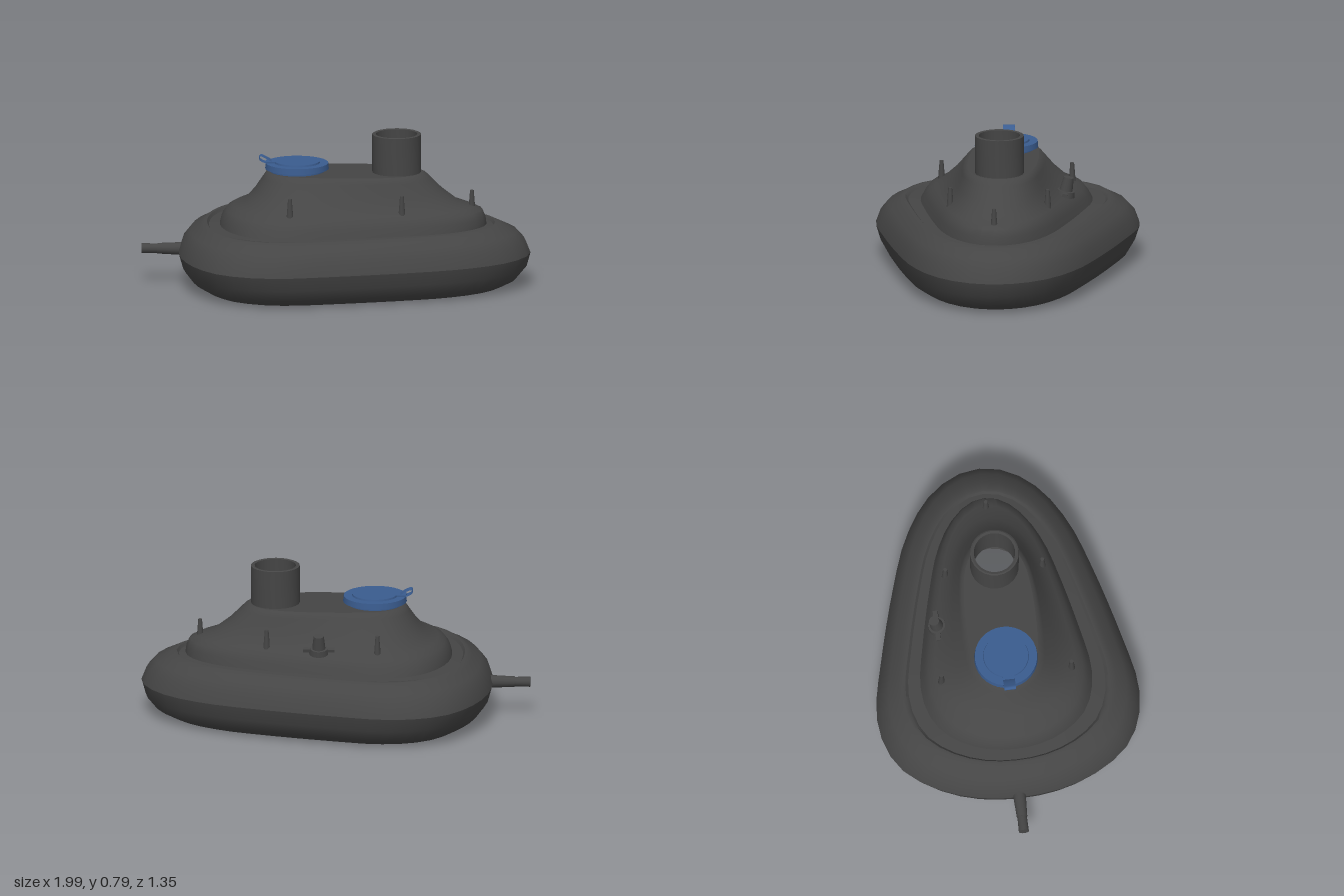
import * as THREE from 'three';
import { toCreasedNormals } from 'three/addons/utils/BufferGeometryUtils.js';

const rubber = new THREE.MeshStandardMaterial({ color: 0x454545, side: THREE.DoubleSide });
rubber.name = 'dark rubber';
const blue = new THREE.MeshStandardMaterial({ color: 0x3a5c8f, side: THREE.DoubleSide });
blue.name = 'blue plastic';

// Egg-shaped plan outline: half of it as [x, z], mirrored across z = 0
const half = [[0.99, 0], [0.96, 0.14], [0.85, 0.29], [0.65, 0.42], [0.4, 0.51], [0, 0.62], [-0.27, 0.675],
  [-0.45, 0.655], [-0.6, 0.575], [-0.72, 0.41], [-0.79, 0.21], [-0.81, 0]];
const mirrored = half.slice(1, -1).reverse().map(([x, z]) => [x, -z]);
const outline = new THREE.CatmullRomCurve3(
  [...half, ...mirrored].map(([x, z]) => new THREE.Vector3(x, 0, z)), true).getSpacedPoints(48).slice(0, 48);

// The outline fitted to a ring [y, xMin, xMax, zMax, nose bluntness]
function ring([y, x0, x1, zMax, blunt = 0]) {
  return outline.map((p) => {
    const u = (p.x + 0.81) / 1.8;
    const widen = 1 + blunt * Math.max(0, u - 0.3) / 0.7;
    return new THREE.Vector3(x0 + u * (x1 - x0), y, p.z / 0.675 * zMax * widen);
  });
}

// Skin over a stack of rings
function loft(rings) {
  const n = outline.length;
  const pos = rings.flatMap((r) => ring(r).flatMap((p) => [p.x, p.y, p.z]));
  const index = [];
  for (let i = 0; i < rings.length - 1; i++) {
    for (let j = 0; j < n; j++) {
      const a = i * n + j, b = i * n + (j + 1) % n;
      index.push(a, a + n, b, b, a + n, b + n);
    }
  }
  const g = new THREE.BufferGeometry();
  g.setAttribute('position', new THREE.Float32BufferAttribute(pos, 3));
  g.setIndex(index);
  return toCreasedNormals(g, 0.75);
}

function add(parent, name, geometry, material, x = 0, y = 0, z = 0) {
  const m = new THREE.Mesh(geometry, material);
  m.name = name;
  m.position.set(x, y, z);
  parent.add(m);
  return m;
}

const cyl = (top, bottom, h, sides = 24) => new THREE.CylinderGeometry(top, bottom, h, sides);

export function createModel() {
  const model = new THREE.Group();
  model.name = 'breathingMask';

  // Cushion: inner wall, flat underside, then the outer bulge up to the seam
  add(model, 'cushionLower', loft([
    [0.32, -0.60, 0.765, 0.44], [0.25, -0.51, 0.64, 0.39], [0.15, -0.46, 0.56, 0.365],
    [0.07, -0.49, 0.60, 0.39], [0.02, -0.57, 0.70, 0.45], [0, -0.65, 0.79, 0.52],
    [0.005, -0.69, 0.85, 0.555], [0.04, -0.745, 0.92, 0.615], [0.1, -0.79, 0.97, 0.652], [0.172, -0.81, 0.99, 0.675],
  ]), rubber);
  // Upper bulge and the raised rib round the shell
  add(model, 'cushionUpper', loft([
    [0.172, -0.81, 0.99, 0.675], [0.235, -0.79, 0.965, 0.652], [0.285, -0.75, 0.92, 0.61],
    [0.312, -0.70, 0.86, 0.56], [0.328, -0.68, 0.825, 0.535], [0.328, -0.665, 0.81, 0.52],
    [0.314, -0.655, 0.80, 0.505], [0.32, -0.60, 0.765, 0.44],
  ]), rubber);

  // Domed shell with a ledge and a steep upper part
  const deckRing = [0.59, -0.35, 0.44, 0.172, 0.6];
  add(model, 'shell', loft([
    [0.32, -0.60, 0.765, 0.44], [0.36, -0.59, 0.76, 0.42], [0.395, -0.565, 0.745, 0.395],
    [0.415, -0.53, 0.70, 0.36, 0.05], [0.44, -0.47, 0.62, 0.32, 0.12], [0.5, -0.42, 0.54, 0.255, 0.3],
    [0.56, -0.38, 0.48, 0.205, 0.5], [0.583, -0.365, 0.455, 0.186, 0.6], deckRing,
  ]), rubber);

  // Flat deck with the port opening
  const deck = new THREE.Shape(ring(deckRing).map((p) => new THREE.Vector2(p.x, -p.z)));
  const opening = new THREE.Path();
  opening.absarc(0.305, 0, 0.106, 0, Math.PI * 2, true);
  deck.holes.push(opening);
  add(model, 'deck', new THREE.ShapeGeometry(deck, 20).rotateX(-Math.PI / 2), rubber, 0, 0.59, 0);

  // Hollow port tube
  const tube = [[0.106, 0.58], [0.125, 0.58], [0.125, 0.787], [0.118, 0.79], [0.106, 0.787], [0.106, 0.58]];
  add(model, 'portTube', toCreasedNormals(new THREE.LatheGeometry(
    tube.map(([r, y]) => new THREE.Vector2(r, y)), 24), 0.6), rubber, 0.305, 0, 0);

  // Small pegs on the ledge
  for (const [x, y, z] of [[-0.23, 0.46, 0.335], [-0.23, 0.46, -0.335], [0.34, 0.46, 0.25], [0.34, 0.46, -0.25], [0.69, 0.44, 0]]) {
    add(model, 'peg', cyl(0.01, 0.019, 0.11, 10), rubber, x, y, z);
  }

  // Side nipple with two small wings
  const nipple = new THREE.Group();
  nipple.name = 'sideNipple';
  nipple.position.set(0.07, 0.42, -0.32);
  nipple.rotation.x = -0.2;
  add(nipple, 'nippleBase', cyl(0.045, 0.05, 0.03, 16), rubber, 0, 0.01, 0);
  add(nipple, 'nippleStem', cyl(0.026, 0.036, 0.09, 16), rubber, 0, 0.05, 0);
  add(nipple, 'nippleWings', new THREE.BoxGeometry(0.16, 0.016, 0.025), rubber, 0, 0.015, 0);
  model.add(nipple);

  // Inflation valve at the broad end
  const valve = new THREE.Group();
  valve.name = 'inflationValve';
  valve.position.set(0, 0.178, 0);
  add(valve, 'valveSleeve', cyl(0.027, 0.035, 0.17, 14).rotateZ(Math.PI / 2), rubber, -0.835);
  add(valve, 'valveTip', cyl(0.026, 0.024, 0.1, 14).rotateZ(Math.PI / 2), rubber, -0.95);
  model.add(valve);

  // Round cap with a raised centre and a curled pull strap
  const cap = new THREE.Group();
  cap.name = 'cap';
  cap.position.set(-0.205, 0, 0);
  add(cap, 'capNeck', cyl(0.14, 0.14, 0.03, 32), blue, 0, 0.6, 0);
  add(cap, 'capDisc', cyl(0.16, 0.163, 0.03, 32), blue, 0, 0.618, 0);
  add(cap, 'capCentre', cyl(0.115, 0.118, 0.012, 32), blue, 0, 0.636, 0);
  const strapLine = new THREE.CatmullRomCurve3([[-0.12, 0.632], [-0.14, 0.648], [-0.165, 0.662], [-0.185, 0.669], [-0.195, 0.66], [-0.185, 0.645], [-0.15, 0.63]]
    .map(([x, y]) => new THREE.Vector3(x, y, 0))).getPoints(20);
  const wide = 0.06, strapPos = [], strapIndex = [];
  strapLine.forEach((p, i) => {
    strapPos.push(p.x, p.y, -wide / 2, p.x, p.y, wide / 2);
    if (i) strapIndex.push(2 * i - 2, 2 * i, 2 * i - 1, 2 * i - 1, 2 * i, 2 * i + 1);
  });
  const strap = new THREE.BufferGeometry();
  strap.setAttribute('position', new THREE.Float32BufferAttribute(strapPos, 3));
  strap.setIndex(strapIndex);
  strap.computeVertexNormals();
  add(cap, 'pullStrap', strap, blue);
  add(cap, 'strapFoot', new THREE.BoxGeometry(0.06, 0.01, wide), blue, -0.13, 0.636, 0);
  model.add(cap);

  return model;
}
